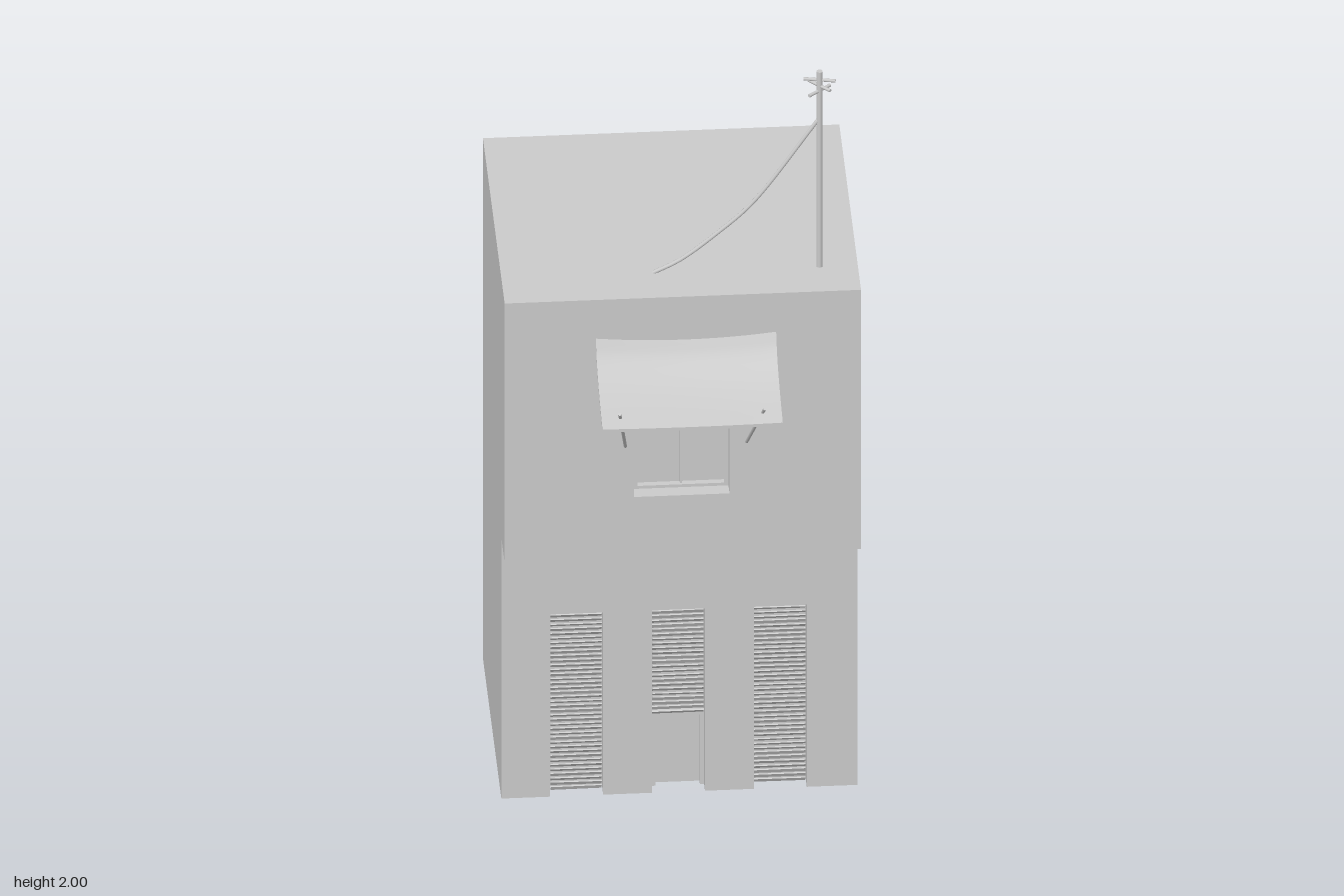
import * as THREE from 'three';

const W = 0.42, BACK = -0.47, LOWER = 0.14, UPPER = 0.25, STEP = 0.73, ROOF = 1.455;

export function createModel() {
  const model = new THREE.Group();
  const smooth = new THREE.MeshStandardMaterial({ color: 0xcccccc, side: THREE.DoubleSide });
  const flat = new THREE.MeshStandardMaterial({ color: 0xcccccc, side: THREE.DoubleSide, flatShading: true });

  const add = (name, geometry, parent = model, material = flat) => {
    const mesh = new THREE.Mesh(geometry, material);
    mesh.name = name;
    parent.add(mesh);
    return mesh;
  };
  const group = (name) => {
    const g = new THREE.Group();
    g.name = name;
    model.add(g);
    return g;
  };
  const box = (name, parent, x0, x1, y0, y1, z0, z1) =>
    add(name, new THREE.BoxGeometry(x1 - x0, y1 - y0, z1 - z0)
      .translate((x0 + x1) / 2, (y0 + y1) / 2, (z0 + z1) / 2), parent);
  const rod = (name, parent, a, b, radius, sides = 8) => {
    const dir = b.clone().sub(a);
    const mesh = add(name, new THREE.CylinderGeometry(radius, radius, dir.length(), sides), parent, smooth);
    mesh.position.copy(a).add(b).multiplyScalar(0.5);
    mesh.quaternion.setFromUnitVectors(new THREE.Vector3(0, 1, 0), dir.normalize());
    return mesh;
  };
  const outline = (pts) => new THREE.Shape(pts.map(([x, y]) => new THREE.Vector2(x, y)));
  const v = (x, y, z) => new THREE.Vector3(x, y, z);
  let seed = 7;
  const jitter = () => {
    seed = (seed * 16807) % 2147483647;
    return seed / 2147483647 - 0.5;
  };

  // Openings
  const doors = [[-0.305, -0.18], [-0.065, 0.06], [0.175, 0.3]];
  const doorTop = 0.51, doorDepth = 0.045;
  const win = { x0: -0.115, x1: 0.11, y0: 0.9, y1: 1.23, depth: 0.05 };

  // Building shell, open underneath
  const shell = group('building');
  const lower = [[-W, 0]];
  for (const [a, b] of doors) lower.push([a, 0], [a, doorTop], [b, doorTop], [b, 0]);
  lower.push([W, 0], [W, STEP], [-W, STEP]);
  add('lowerFrontWall', new THREE.ShapeGeometry(outline(lower)).translate(0, 0, LOWER), shell);

  const upper = outline([[-W, STEP], [W, STEP], [W, ROOF], [-W, ROOF]]);
  upper.holes.push(outline([[win.x0, win.y0], [win.x0, win.y1], [win.x1, win.y1], [win.x1, win.y0]]));
  add('upperFrontWall', new THREE.ShapeGeometry(upper).translate(0, 0, UPPER), shell);

  // Side profile is drawn with -z along the shape's x, then turned to face +x
  const side = outline([[-LOWER, 0], [-BACK, 0], [-BACK, ROOF], [-UPPER, ROOF], [-UPPER, STEP], [-LOWER, STEP]]);
  add('leftWall', new THREE.ShapeGeometry(side).rotateY(Math.PI / 2).translate(W, 0, 0), shell);
  const rightShape = outline([[LOWER, 0], [LOWER, STEP], [UPPER, STEP], [UPPER, ROOF], [BACK, ROOF], [BACK, 0]]);
  add('rightWall', new THREE.ShapeGeometry(rightShape).rotateY(-Math.PI / 2).translate(-W, 0, 0), shell);
  add('backWall', new THREE.PlaneGeometry(2 * W, ROOF).rotateY(Math.PI).translate(0, ROOF / 2, BACK), shell);
  add('roof', new THREE.PlaneGeometry(2 * W, UPPER - BACK).rotateX(-Math.PI / 2)
    .translate(0, ROOF, (UPPER + BACK) / 2), shell);
  add('overhangUnderside', new THREE.PlaneGeometry(2 * W, UPPER - LOWER).rotateX(Math.PI / 2)
    .translate(0, STEP, (UPPER + LOWER) / 2), shell);

  // Reveals and back panel behind an opening
  const recess = (parent, x0, x1, y0, y1, z, d, sill) => {
    const w = x1 - x0, h = y1 - y0, cx = (x0 + x1) / 2, cy = (y0 + y1) / 2;
    add('recessPanel', new THREE.PlaneGeometry(w, h).translate(cx, cy, z - d), parent);
    add('jamb', new THREE.PlaneGeometry(d, h).rotateY(Math.PI / 2).translate(x0, cy, z - d / 2), parent);
    add('jamb', new THREE.PlaneGeometry(d, h).rotateY(-Math.PI / 2).translate(x1, cy, z - d / 2), parent);
    add('lintel', new THREE.PlaneGeometry(w, d).rotateX(Math.PI / 2).translate(cx, y1, z - d / 2), parent);
    if (sill) add('sill', new THREE.PlaneGeometry(w, d).rotateX(-Math.PI / 2).translate(cx, y0, z - d / 2), parent);
  };

  // Tilted, slightly uneven slats of a hanging blind
  const blind = (parent, x0, x1, y0, y1, z) => {
    const n = Math.round((y1 - y0) / 0.0128), pitch = (y1 - y0) / n;
    for (let i = 0; i < n; i++) {
      const slat = add('slat', new THREE.BoxGeometry(x1 - x0, 0.012, 0.003), parent);
      slat.position.set((x0 + x1) / 2, y0 + (i + 0.5) * pitch, z);
      slat.rotation.set(0.6 + jitter() * 0.3, 0, jitter() * 0.03);
    }
  };

  // Thin frame around an opening
  const frame = (parent, x0, x1, y0, y1, z, t) => {
    box('frameSide', parent, x0, x0 + t, y0, y1, z, z + 0.015);
    box('frameSide', parent, x1 - t, x1, y0, y1, z, z + 0.015);
    box('frameTop', parent, x0 + t, x1 - t, y1 - t, y1, z, z + 0.015);
  };

  // Ground-floor doorways; the middle blind is half raised
  doors.forEach(([a, b], i) => {
    const door = group('doorway');
    recess(door, a, b, 0, doorTop, LOWER, doorDepth, false);
    const bottom = i === 1 ? 0.205 : 0.004;
    blind(door, a + 0.002, b - 0.002, bottom, doorTop, LOWER - 0.022);
    if (i === 1) frame(door, a, b, 0, bottom, LOWER - doorDepth, 0.01);
  });

  // Window with raised blind, frame and centre bar
  const window_ = group('window');
  recess(window_, win.x0, win.x1, win.y0, win.y1, UPPER, win.depth, true);
  const wz = UPPER - win.depth;
  frame(window_, win.x0, win.x1, win.y0, 1.13, wz, 0.01);
  box('frameBottom', window_, win.x0 + 0.01, win.x1 - 0.01, win.y0, win.y0 + 0.008, wz, wz + 0.015);
  box('centreBar', window_, -0.004, 0.001, win.y0 + 0.008, 1.12, wz, wz + 0.01);
  blind(window_, win.x0 + 0.002, win.x1 - 0.002, 1.125, win.y1, UPPER - 0.022);

  // Awning: a thin sheet following a drooping profile, sagging between its upper corners
  const awning = group('awning');
  const profile = new THREE.CatmullRomCurve3([
    v(0, 1.343, 0.25), v(0, 1.305, 0.275), v(0, 1.272, 0.325), v(0, 1.249, 0.39), v(0, 1.23, 0.47)]);
  const sheet = new THREE.BoxGeometry(0.425, 0.008, 1, 12, 1, 14);
  const pos = sheet.attributes.position;
  for (let i = 0; i < pos.count; i++) {
    const t = pos.getZ(i) + 0.5, across = pos.getX(i) / 0.2125;
    const p = profile.getPoint(t);
    const sag = 0.012 * (1 - across * across) * (1 - 0.8 * t);
    pos.setXYZ(i, pos.getX(i) + 0.0075, p.y + pos.getY(i) - sag, p.z);
  }
  sheet.computeVertexNormals();
  add('awningSheet', sheet, awning, smooth);
  for (const s of [-1, 1]) {
    rod('awningStrut', awning, v(0.0075 + s * 0.143, 1.043, 0.25), v(0.0075 + s * 0.171, 1.265, 0.455), 0.004);
  }

  // Rooftop pole with cross rods
  const mast = group('mast');
  rod('pole', mast, v(0.33, ROOF, LOWER), v(0.33, 2, LOWER), 0.0075, 10);
  [[1.976, 0.038, 0.2], [1.96, 0.034, 0.8], [1.946, 0.034, -0.7]].forEach(([y, half, angle]) => {
    const dx = half * Math.cos(angle), dz = half * Math.sin(angle);
    rod('crossRod', mast, v(0.33 - dx, y, LOWER - dz), v(0.33 + dx, y, LOWER + dz), 0.004);
  });

  // Slack cable from the pole to the roof
  const cable = new THREE.CatmullRomCurve3([
    v(0.33, 1.87, LOWER), v(0.172, 1.64, LOWER), v(0.09, 1.56, LOWER), v(0, 1.487, LOWER), v(-0.062, 1.455, LOWER)]);
  add('cable', new THREE.TubeGeometry(cable, 24, 0.005, 8), mast, smooth);

  return model;
}
